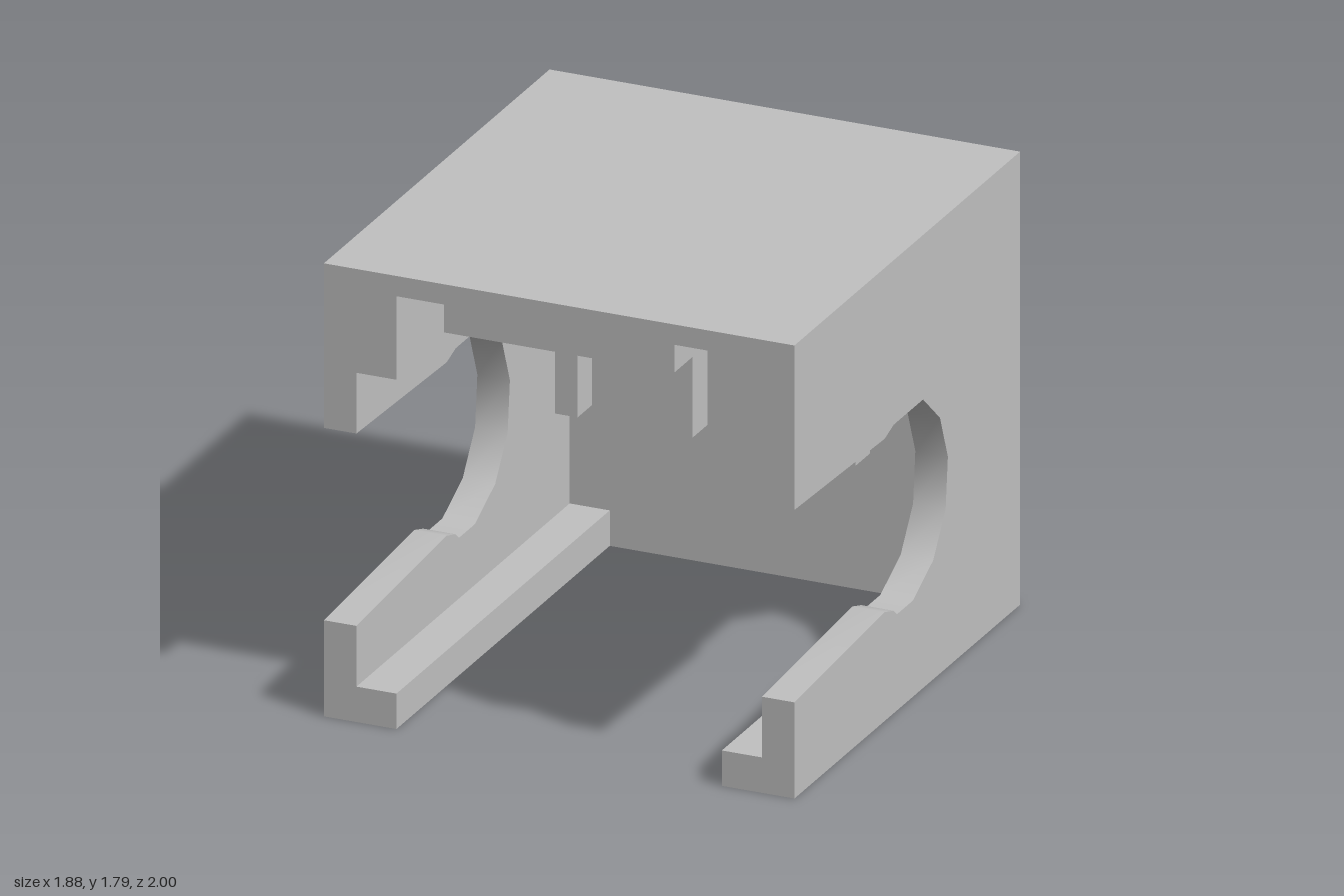
import * as THREE from 'three';
import { toCreasedNormals } from 'three/addons/utils/BufferGeometryUtils.js';

const W = 0.94, INNER = 0.81, LIP = 0.65, H = 1.79;
const BACK = -1, BACK_INNER = -0.89, FRONT = 1;

export function createModel() {
  const grey = new THREE.MeshStandardMaterial({ color: 0xc0c0c0 });
  grey.name = 'light grey';
  const group = new THREE.Group();
  group.name = 'openHousing';

  const add = (name, geometry) => {
    const mesh = new THREE.Mesh(geometry, grey);
    mesh.name = name;
    group.add(mesh);
  };
  // box given by its lower and upper corners
  const box = (name, x0, x1, y0, y1, z0, z1) => add(name,
    new THREE.BoxGeometry(x1 - x0, y1 - y0, z1 - z0)
      .translate((x0 + x1) / 2, (y0 + y1) / 2, (z0 + z1) / 2));
  const extrude = (points, depth) => new THREE.ExtrudeGeometry(
    new THREE.Shape(points.map(([x, y]) => new THREE.Vector2(x, y))),
    { depth, bevelEnabled: false });

  // back wall
  box('backWall', -W, W, 0, H, BACK, BACK_INNER);

  // side walls with a rounded cut-out open to the front, as [z, y]
  const sideProfile = [
    [FRONT, H], [BACK_INNER, H], [BACK_INNER, 0], [FRONT, 0],
    [FRONT, 0.38], [0.2, 0.43], [0.12, 0.405], [0.09, 0.38], [-0.05, 0.38],
    [-0.23, 0.47], [-0.34, 0.63], [-0.36, 0.83], [-0.29, 1.01], [-0.14, 1.14],
    [0.12, 1.14], [0.2, 1.115], [FRONT, 1.14],
  ].map(([z, y]) => [-z, y]);
  for (const [name, x] of [['leftWall', INNER], ['rightWall', -W]]) {
    const wall = extrude(sideProfile, W - INNER).rotateY(Math.PI / 2).translate(x, 0, 0);
    add(name, toCreasedNormals(wall, 0.55));
  }

  // roof with stepped shoulders and two grooves, extruded front to back
  const half = [[INNER, H], [INNER, 1.38], [LIP, 1.38], [LIP, 1.71], [0.46, 1.71], [0.46, 1.6]];
  const mirrored = half.map(([x, y]) => [-x, y]).reverse();
  add('roof', extrude([...half, ...mirrored], FRONT - BACK_INNER).translate(0, 0, BACK_INNER));

  // floor rails and the back wall's locating blocks
  for (const [side, s] of [['left', 1], ['right', -1]]) {
    const pair = (name, a, b, ...rest) =>
      box(side + name, Math.min(s * a, s * b), Math.max(s * a, s * b), ...rest);
    pair('Rail', LIP, INNER, 0, 0.14, BACK_INNER, FRONT);
    pair('InnerBlock', 0.26, 0.39, 0.545, 0.975, BACK_INNER, -0.76);
    pair('OuterBlock', 0.72, INNER, 0.545, 0.975, BACK_INNER, -0.76);
  }
  return group;
}
